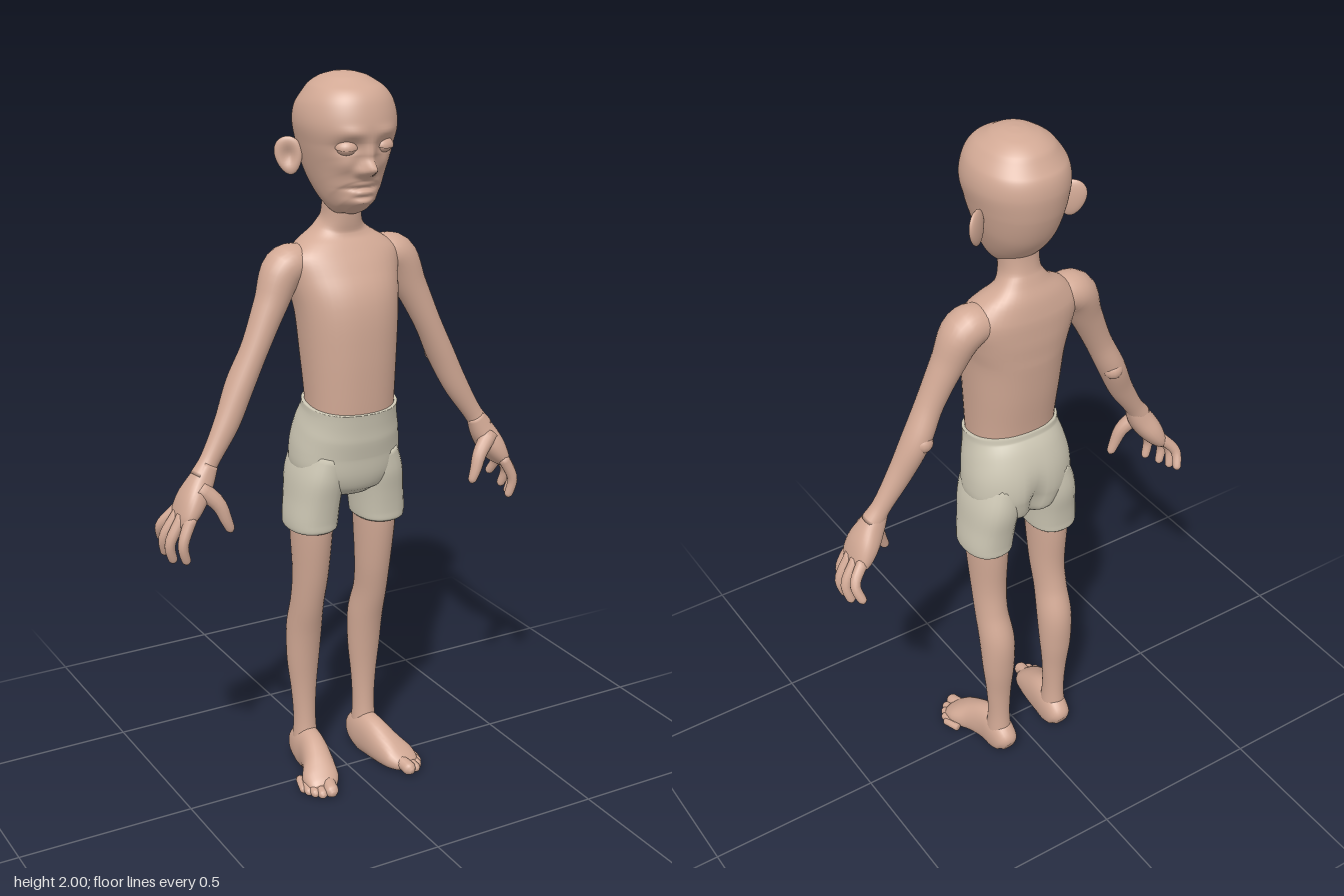
import * as THREE from 'three';

const skin = new THREE.MeshStandardMaterial({ color: 0xd2a995 });
skin.name = 'skin';
const cloth = new THREE.MeshStandardMaterial({ color: 0xcdc7b4 });
cloth.name = 'shorts cloth';

const UP = new THREE.Vector3(0, 1, 0), FRONT = new THREE.Vector3(0, 0, 1);

// Smooth loft through sections [x, y, z, half width, half depth]; depth lies along ref
function loft(sections, { ref = FRONT, rings = 24, sides = 28, power = 2 } = {}) {
  const path = new THREE.CatmullRomCurve3(sections.map((s) => new THREE.Vector3(s[0], s[1], s[2])), false, 'centripetal');
  const radii = new THREE.CatmullRomCurve3(sections.map((s) => new THREE.Vector3(s[3], s[4], 0)), false, 'catmullrom', 0.5);
  const pos = [], index = [];
  for (let k = 0; k <= rings + 2; k++) {
    const u = THREE.MathUtils.clamp((k - 1) / rings, 0, 1);
    const cap = k === 0 || k === rings + 2 ? 0 : 1;
    const c = path.getPoint(u), t = path.getTangent(u), r = radii.getPoint(u);
    const depth = ref.clone().addScaledVector(t, -ref.dot(t)).normalize();
    const side = new THREE.Vector3().crossVectors(depth, t);
    for (let j = 0; j < sides; j++) {
      const a = (j / sides) * Math.PI * 2;
      const bend = (v) => Math.sign(v) * Math.pow(Math.abs(v), 2 / power);
      const p = c.clone()
        .addScaledVector(side, bend(Math.cos(a)) * Math.max(r.x, 0) * cap)
        .addScaledVector(depth, bend(Math.sin(a)) * Math.max(r.y, 0) * cap);
      pos.push(p.x, Math.max(p.y, 0), p.z);
      if (k < rings + 2) {
        const n = (j + 1) % sides, A = k * sides + j, B = k * sides + n;
        index.push(A, B, A + sides, B, B + sides, A + sides);
      }
    }
  }
  const g = new THREE.BufferGeometry();
  g.setAttribute('position', new THREE.Float32BufferAttribute(pos, 3));
  g.setIndex(index);
  g.computeVertexNormals();
  return g;
}

// Move every vertex by a rule
function sculpt(g, rule) {
  const p = g.attributes.position, v = new THREE.Vector3();
  for (let i = 0; i < p.count; i++) {
    rule(v.fromBufferAttribute(p, i));
    p.setXYZ(i, v.x, v.y, v.z);
  }
  g.computeVertexNormals();
  return g;
}

function mirrored(g) {
  const m = g.clone().scale(-1, 1, 1), idx = m.index.array;
  for (let i = 0; i < idx.length; i += 3) [idx[i], idx[i + 1]] = [idx[i + 1], idx[i]];
  m.computeVertexNormals();
  return m;
}

const bump = (x, y, cx, cy, sx, sy) => Math.exp(-(((x - cx) / sx) ** 2) - ((y - cy) / sy) ** 2);

export function createModel() {
  const model = new THREE.Group();
  const add = (name, g, mat = skin) => {
    const m = new THREE.Mesh(g, mat);
    m.name = name;
    model.add(m);
  };
  const pair = (name, g, mat = skin) => {
    add(name + 'Left', g, mat);
    add(name + 'Right', mirrored(g), mat);
  };
  // Upright sections: [y, z, half width, half depth]
  const upright = (rows) => rows.map(([y, z, w, d]) => [0, y, z, w, d]);

  // Torso and neck
  add('torso', loft(upright([
    [1.08, 0.01, 0.122, 0.1], [1.15, 0.01, 0.124, 0.104], [1.27, 0.003, 0.132, 0.114], [1.39, -0.007, 0.142, 0.117],
    [1.46, -0.025, 0.156, 0.104], [1.52, -0.04, 0.165, 0.086], [1.56, -0.045, 0.125, 0.07], [1.59, -0.043, 0.078, 0.056],
    [1.62, -0.036, 0.055, 0.052], [1.67, -0.03, 0.052, 0.052], [1.74, -0.025, 0.058, 0.06],
  ]), { rings: 44, sides: 40, power: 2.25 }));

  // Head with sculpted face
  const head = loft(upright([
    [1.655, 0.055, 0.03, 0.035], [1.667, 0.047, 0.052, 0.057], [1.69, 0.028, 0.074, 0.08], [1.725, 0.008, 0.091, 0.104],
    [1.77, -0.008, 0.107, 0.126], [1.82, -0.015, 0.12, 0.14], [1.875, -0.016, 0.13, 0.146], [1.925, -0.016, 0.121, 0.134],
    [1.965, -0.018, 0.093, 0.104], [1.988, -0.018, 0.058, 0.066], [1.997, -0.018, 0.028, 0.033], [2, -0.018, 0.004, 0.004],
  ]), { rings: 90, sides: 96, power: 2.15 });
  add('head', sculpt(head, (v) => {
    if (v.z < 0.03) return;
    const x = Math.abs(v.x), y = v.y;
    v.z += 0.043 * bump(x, y, 0, 1.765, 0.02, 0.02)       // nose tip
      + 0.014 * bump(x, y, 0, 1.795, 0.014, 0.03)         // bridge
      + 0.01 * bump(x, y, 0.022, 1.758, 0.011, 0.011)     // nostril wings
      - 0.017 * bump(x, y, 0.053, 1.822, 0.03, 0.02)      // eye sockets
      + 0.006 * bump(x, y, 0.05, 1.86, 0.035, 0.014)      // brows
      + 0.006 * bump(x, y, 0.06, 1.775, 0.025, 0.02)      // cheeks
      + 0.007 * bump(x, y, 0, 1.725, 0.03, 0.009)         // upper lip
      - 0.009 * bump(x, y, 0, 1.713, 0.04, 0.005)         // mouth line
      + 0.006 * bump(x, y, 0, 1.703, 0.024, 0.008)        // lower lip
      - 0.006 * bump(x, y, 0, 1.69, 0.03, 0.007)
      + 0.008 * bump(x, y, 0, 1.674, 0.028, 0.012);       // chin
  }));

  // Eyes and lids
  const eye = new THREE.SphereGeometry(0.024, 20, 14);
  eye.scale(1.1, 0.8, 1).rotateY(0.3).translate(0.053, 1.82, 0.089);
  pair('eye', eye);
  const lid = new THREE.SphereGeometry(0.0265, 20, 8, 0, Math.PI * 2, 0, Math.PI / 2);
  lid.scale(1.15, 0.85, 1).rotateX(0.25).rotateY(0.3).translate(0.053, 1.821, 0.089);
  pair('eyelid', lid);

  // Ears: hollowed discs swept outward and back
  const ear = sculpt(new THREE.SphereGeometry(1, 28, 20), (v) => {
    const r2 = v.x * v.x + v.y * v.y;
    v.z = v.z * 0.013 - (v.z > 0 ? 0.017 * Math.exp(-r2 * 4) : 0);
    v.x *= 0.036 * (1 + 0.2 * v.y);
    v.y *= 0.05;
  });
  ear.rotateZ(-0.15).rotateY(0.6).translate(0.14, 1.787, -0.06);
  pair('ear', ear);

  // Arms and palms
  pair('arm', loft([
    [0.1, 1.51, -0.045, 0.045, 0.05], [0.165, 1.5, -0.04, 0.056, 0.06], [0.213, 1.41, -0.03, 0.045, 0.047],
    [0.265, 1.3, -0.022, 0.037, 0.04], [0.31, 1.205, -0.024, 0.038, 0.043], [0.355, 1.11, -0.013, 0.035, 0.033],
    [0.41, 1.02, -0.005, 0.027, 0.026], [0.44, 0.975, 0, 0.031, 0.031],
  ], { rings: 40 }));
  pair('elbow', new THREE.SphereGeometry(0.028, 16, 12).translate(0.303, 1.205, -0.045));
  pair('palm', loft([
    [0.415, 1.01, 0, 0.024, 0.024], [0.44, 0.965, 0, 0.034, 0.036], [0.468, 0.92, 0, 0.035, 0.053],
    [0.492, 0.88, 0, 0.026, 0.056], [0.508, 0.855, 0, 0.012, 0.042],
  ], { rings: 22, power: 2.3 }));

  // Fingers and thumb
  const digit = (points, r0, r1, ref) => {
    const n = points.length - 1;
    const rows = points.map((p, i) => {
      const r = r0 + ((r1 - r0) * i) / n;
      return [...p, r, r];
    });
    const a = new THREE.Vector3(...points[n - 1]), b = new THREE.Vector3(...points[n]);
    const e = b.clone().add(b.clone().sub(a).setLength(r1 * 0.7));
    rows.push([e.x, e.y, e.z, r1 * 0.4, r1 * 0.4]);
    return loft(rows, { rings: 14, sides: 12, ref });
  };
  const fingers = {
    indexFinger: [[0.488, 0.885, 0.04], [0.518, 0.815, 0.05], [0.508, 0.768, 0.046]],
    middleFinger: [[0.5, 0.885, 0.014], [0.54, 0.81, 0.014], [0.53, 0.763, 0.008]],
    ringFinger: [[0.5, 0.885, -0.014], [0.541, 0.82, -0.022], [0.535, 0.772, -0.034]],
    littleFinger: [[0.492, 0.89, -0.036], [0.533, 0.84, -0.06], [0.525, 0.798, -0.082]],
  };
  for (const [name, pts] of Object.entries(fingers)) pair(name, digit(pts, 0.017, 0.012, FRONT));
  pair('thumb', digit([[0.455, 0.955, 0.02], [0.41, 0.91, 0.04], [0.392, 0.865, 0.047], [0.38, 0.835, 0.048]], 0.025, 0.012, FRONT));

  // Shorts: hips, then flared legs
  const hips = loft(upright([
    [0.865, -0.025, 0.07, 0.07], [0.89, -0.025, 0.115, 0.1], [0.94, -0.022, 0.151, 0.116], [1, -0.02, 0.154, 0.121],
    [1.06, -0.006, 0.144, 0.119], [1.105, 0.006, 0.133, 0.11], [1.13, 0.01, 0.131, 0.109],
  ]), { rings: 32, sides: 48, power: 2.3 });
  add('shortsHips', sculpt(hips, (v) => {
    if (v.z < 0) v.z += 0.03 * bump(v.x, v.y, 0, 0.92, 0.022, 0.08); // seat cleft
  }), cloth);
  pair('shortsLeg', loft([
    [0.078, 0.99, -0.02, 0.06, 0.105], [0.092, 0.92, -0.024, 0.069, 0.107], [0.1, 0.85, -0.024, 0.07, 0.095],
    [0.105, 0.8, -0.024, 0.071, 0.088], [0.106, 0.775, -0.024, 0.069, 0.086], [0.106, 0.768, -0.024, 0.063, 0.08],
  ], { rings: 24, power: 2.3 }), cloth);

  // Legs
  pair('leg', loft([
    [0.1, 0.85, -0.025, 0.058, 0.076], [0.1, 0.75, -0.027, 0.056, 0.072], [0.1, 0.62, -0.034, 0.049, 0.058],
    [0.102, 0.53, -0.05, 0.046, 0.053], [0.1, 0.44, -0.075, 0.05, 0.054], [0.1, 0.34, -0.083, 0.047, 0.045],
    [0.099, 0.24, -0.082, 0.037, 0.035], [0.098, 0.15, -0.08, 0.032, 0.034], [0.098, 0.07, -0.078, 0.036, 0.042],
  ].reverse(), { rings: 44 }));

  // Feet, flat underneath
  pair('foot', loft([
    [0.096, 0.037, -0.132, 0.018, 0.022], [0.096, 0.045, -0.118, 0.034, 0.045], [0.097, 0.055, -0.08, 0.04, 0.066],
    [0.1, 0.056, -0.03, 0.04, 0.066], [0.112, 0.043, 0.03, 0.045, 0.052], [0.129, 0.03, 0.075, 0.052, 0.036],
    [0.138, 0.022, 0.105, 0.042, 0.023], [0.141, 0.02, 0.118, 0.03, 0.014],
  ], { ref: UP, rings: 32, power: 2.2 }));
  const toes = [[0.128, 0.143, 0.02], [0.153, 0.136, 0.014], [0.168, 0.12, 0.0135], [0.179, 0.102, 0.0125], [0.186, 0.082, 0.0115]];
  toes.forEach(([x, z, r], i) => {
    pair('toe' + (i + 1), digit([[x - 0.012, r + 0.008, z - 0.05], [x - 0.003, r + 0.005, z - 0.02], [x, r, z]], r, r * 0.95, UP));
  });

  return model;
}
